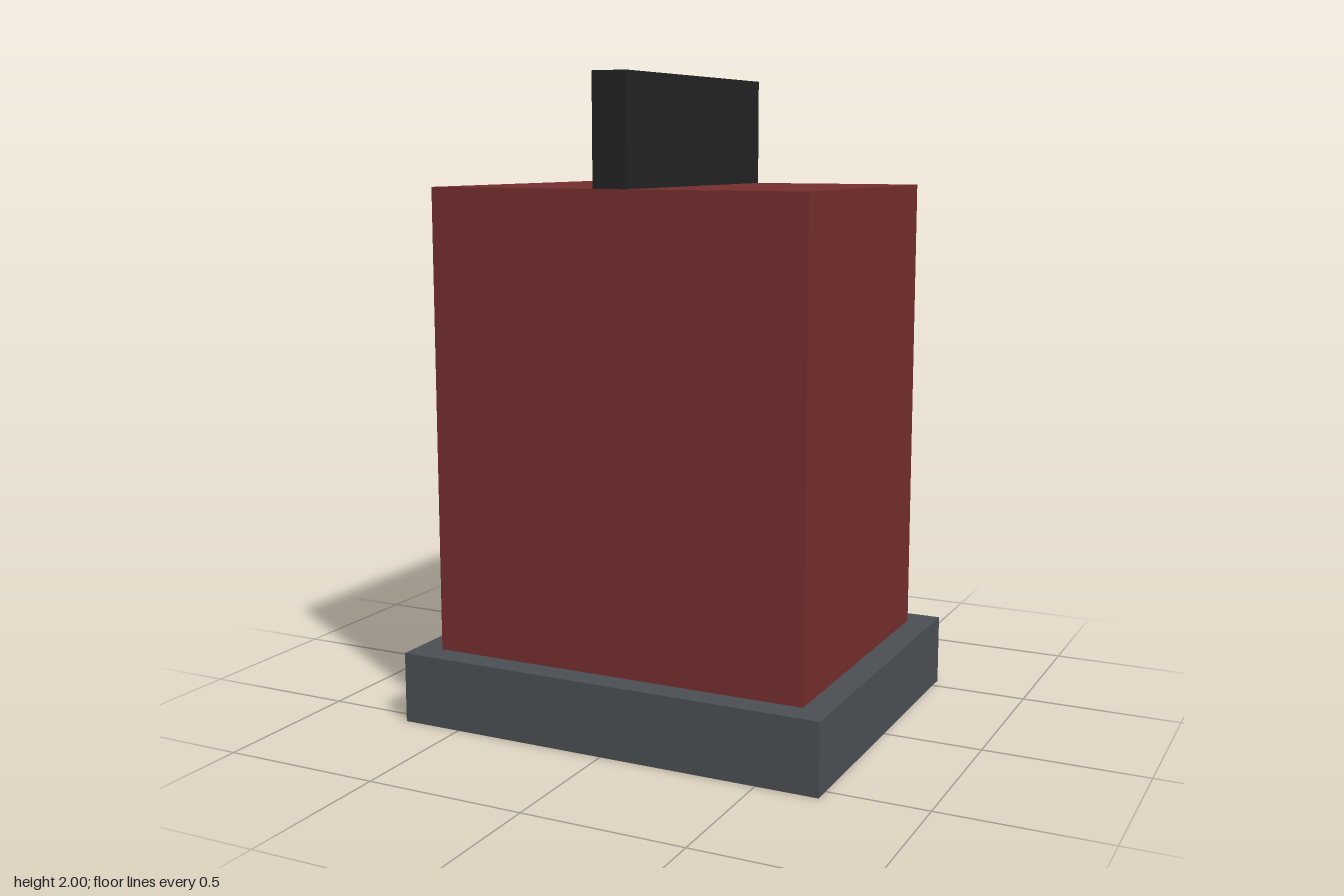
import * as THREE from 'three';

// Box standing on height y; openBottom leaves out the lower face
function makeBox(name, width, height, depth, y, material, openBottom = false) {
  const geometry = new THREE.BoxGeometry(width, height, depth);
  if (openBottom) {
    const index = Array.from(geometry.index.array);
    index.splice(18, 6); // the downward face
    geometry.setIndex(index);
    geometry.clearGroups();
  }
  const mesh = new THREE.Mesh(geometry, material);
  mesh.name = name;
  mesh.position.y = y + height / 2;
  return mesh;
}

export function createModel() {
  const grey = new THREE.MeshStandardMaterial({ color: 0x4a4e52 });
  grey.name = 'slate grey';
  grey.side = THREE.DoubleSide; // the base is a thin open shell
  const red = new THREE.MeshStandardMaterial({ color: 0x732d2d });
  red.name = 'dark red';
  const black = new THREE.MeshStandardMaterial({ color: 0x222222 });
  black.name = 'soft black';

  const model = new THREE.Group();
  model.name = 'model';
  model.add(
    // Hollow plinth, open underneath
    makeBox('base', 1.386, 0.222, 1.108, 0, grey, true),
    // Main block
    makeBox('body', 1.22, 1.445, 0.94, 0.222, red),
    // Upright fin running front to back
    makeBox('topFin', 0.11, 0.333, 0.94, 1.667, black),
  );
  return model;
}
